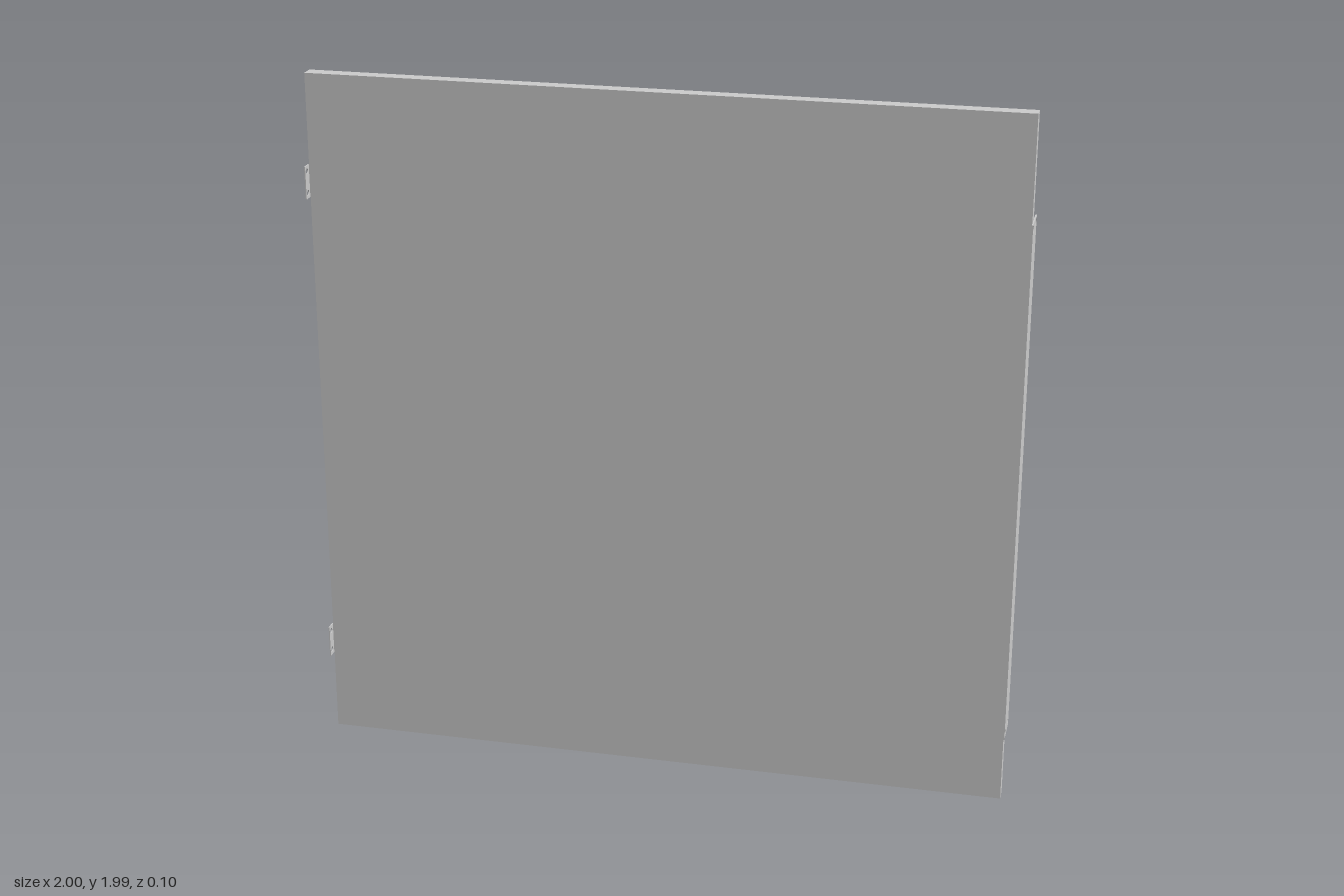
import * as THREE from 'three';

const material = new THREE.MeshStandardMaterial({ color: 0xcccccc, flatShading: true });

function box(name, x0, x1, y0, y1, z0, z1) {
  const mesh = new THREE.Mesh(new THREE.BoxGeometry(x1 - x0, y1 - y0, z1 - z0), material);
  mesh.name = name;
  mesh.position.set((x0 + x1) / 2, (y0 + y1) / 2, (z0 + z1) / 2);
  return mesh;
}

// Thin upright plate facing sideways, drilled at the given [z, y] points
function drilledPlate(name, x0, thickness, y0, y1, z0, z1, holes, radius) {
  const shape = new THREE.Shape();
  shape.moveTo(-z0, y0).lineTo(-z0, y1).lineTo(-z1, y1).lineTo(-z1, y0).closePath();
  for (const [z, y] of holes) {
    shape.holes.push(new THREE.Path().absarc(-z, y, radius, 0, Math.PI * 2, true));
  }
  const geometry = new THREE.ExtrudeGeometry(shape, { depth: thickness, bevelEnabled: false, curveSegments: 12 });
  geometry.rotateY(Math.PI / 2);
  const mesh = new THREE.Mesh(geometry, material);
  mesh.name = name;
  mesh.position.x = x0;
  return mesh;
}

export function createModel() {
  const model = new THREE.Group();
  model.name = 'doorPanel';

  // Main square panel
  model.add(box('panel', -0.988, 0.994, 0, 1.987, -0.02, 0.02));

  // Long mounting strip over the left edge, drilled near its ends
  const stripHoles = [];
  for (const y of [0.22, 1.685]) for (const z of [-0.037, 0.038]) stripHoles.push([z, y]);
  model.add(drilledPlate('edgeStrip', 0.995, 0.004, 0.203, 1.7, -0.05, 0.05, stripHoles, 0.01));
  model.add(box('stripFlange', 0.965, 0.997, 0.203, 1.7, -0.022, -0.018));

  // Two pairs of small angle brackets on the opposite edge
  for (const y of [0.24, 1.638]) {
    const bracket = new THREE.Group();
    bracket.name = 'bracketPair';
    const top = y + 0.093;
    const holes = (z) => [[z, y + 0.016], [z, top - 0.016]];
    bracket.add(
      drilledPlate('backLeaf', -1, 0.003, y, top, -0.048, -0.019, holes(-0.035), 0.008),
      box('backFlange', -1, -0.965, y, top, -0.021, -0.018),
      drilledPlate('frontLeaf', -0.992, 0.003, y, top, 0.018, 0.048, holes(0.035), 0.008),
      box('frontFlange', -0.992, -0.965, y, top, 0.017, 0.0195)
    );
    model.add(bracket);
  }
  return model;
}
